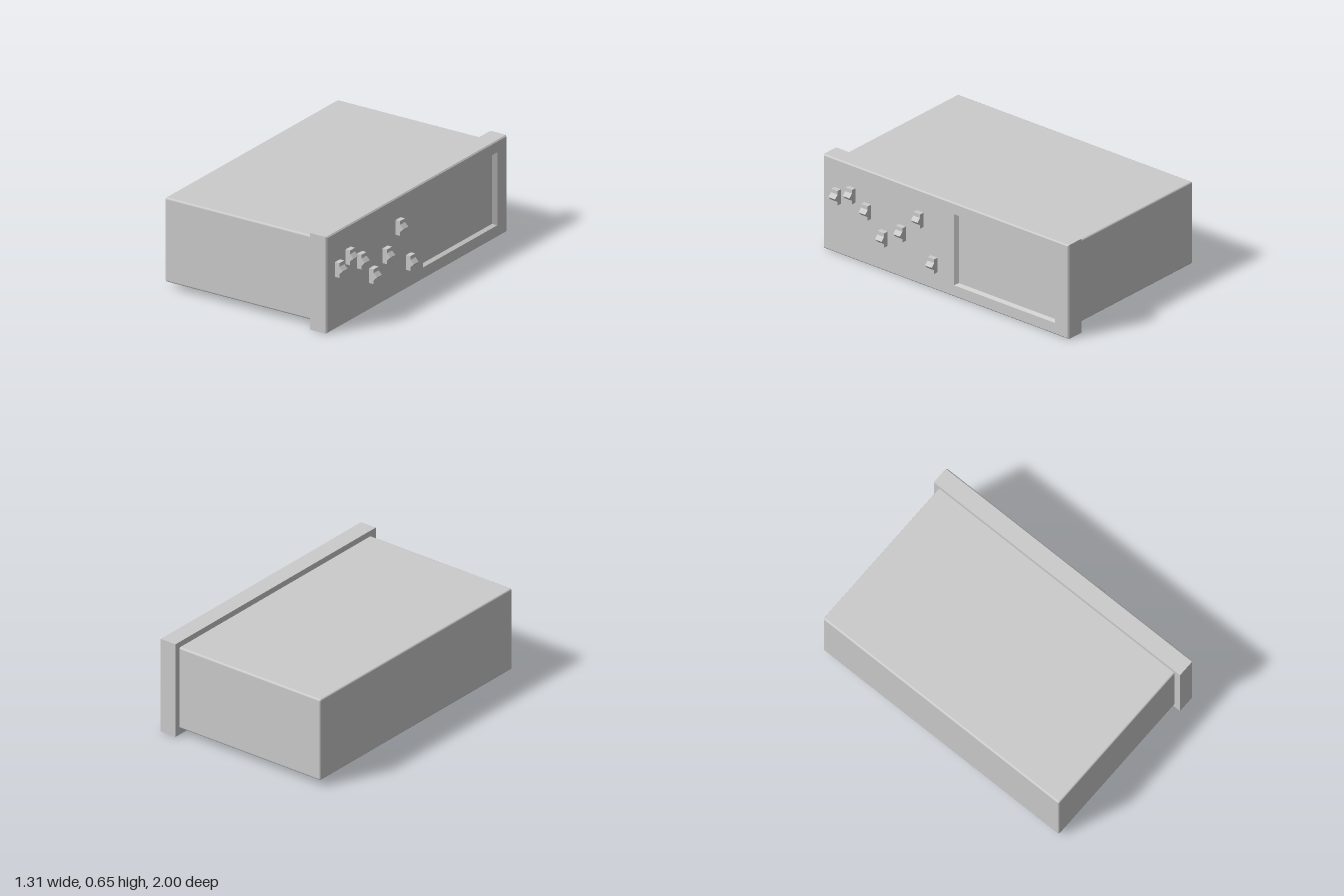
import * as THREE from 'three';
import { RoundedBoxGeometry } from 'three/addons/geometries/RoundedBoxGeometry.js';

const material = new THREE.MeshStandardMaterial({ color: 0xcccccc });

function addMesh(parent, name, geometry, x = 0, y = 0, z = 0) {
  const mesh = new THREE.Mesh(geometry, material);
  mesh.name = name;
  mesh.position.set(x, y, z);
  parent.add(mesh);
  return mesh;
}

// Joins rectangles [x, y0, y1, z0, z1] in order and caps both ends, with flat faces
function loftRectangles(rings) {
  const corners = rings.map(([x, y0, y1, z0, z1]) => [
    [x, y0, z1], [x, y0, z0], [x, y1, z0], [x, y1, z1],
  ]);
  const positions = [];
  const quad = (a, b, c, d) => positions.push(...a, ...b, ...c, ...a, ...c, ...d);
  for (let r = 0; r < corners.length - 1; r++) {
    const a = corners[r], b = corners[r + 1];
    for (let i = 0; i < 4; i++) {
      const j = (i + 1) % 4;
      quad(a[i], a[j], b[j], b[i]);
    }
  }
  const first = corners[0], last = corners[corners.length - 1];
  quad(first[3], first[2], first[1], first[0]);
  quad(...last);
  const geometry = new THREE.BufferGeometry();
  geometry.setAttribute('position', new THREE.Float32BufferAttribute(positions, 3));
  geometry.computeVertexNormals();
  return geometry;
}

// Switch side profile (x out of the panel, y up), pulled to its width along z
function switchGeometry(width) {
  const profile = new THREE.Shape([
    [-0.01, -0.05], [0.035, -0.05], [0.035, -0.025], [0.06, 0],
    [0.035, 0.025], [0.035, 0.05], [-0.01, 0.05],
  ].map(([x, y]) => new THREE.Vector2(x, y)));
  return new THREE.ExtrudeGeometry(profile, { depth: width, bevelEnabled: false })
    .translate(0, 0, -width / 2);
}

export function createModel() {
  const model = new THREE.Group();
  model.name = 'panelUnit';

  // Housing with slightly rounded edges, its front end inside the bezel
  addMesh(model, 'housing', new RoundedBoxGeometry(1.175, 0.57, 1.916, 3, 0.013), -0.0675, 0.329, -0.002);

  // Bezel with chamfered front edge and a shallow recessed window
  addMesh(model, 'bezel', loftRectangles([
    [0.471, 0, 0.653, -1, 1],
    [0.588, 0, 0.653, -1, 1],
    [0.596, 0.008, 0.645, -0.992, 0.992],
    [0.596, 0.08, 0.574, -0.892, -0.065],
    [0.571, 0.092, 0.561, -0.871, -0.086],
  ]));

  // Pointed switches at [y, z] on the panel
  const switches = new THREE.Group();
  switches.name = 'switches';
  model.add(switches);
  const geometry = switchGeometry(0.055);
  [
    [0.405, 0.882], [0.45, 0.764], [0.377, 0.636], [0.232, 0.502],
    [0.315, 0.353], [0.457, 0.209], [0.18, 0.094],
  ].forEach(([y, z], i) => addMesh(switches, `switch${i + 1}`, geometry, 0.595, y, z));

  return model;
}
